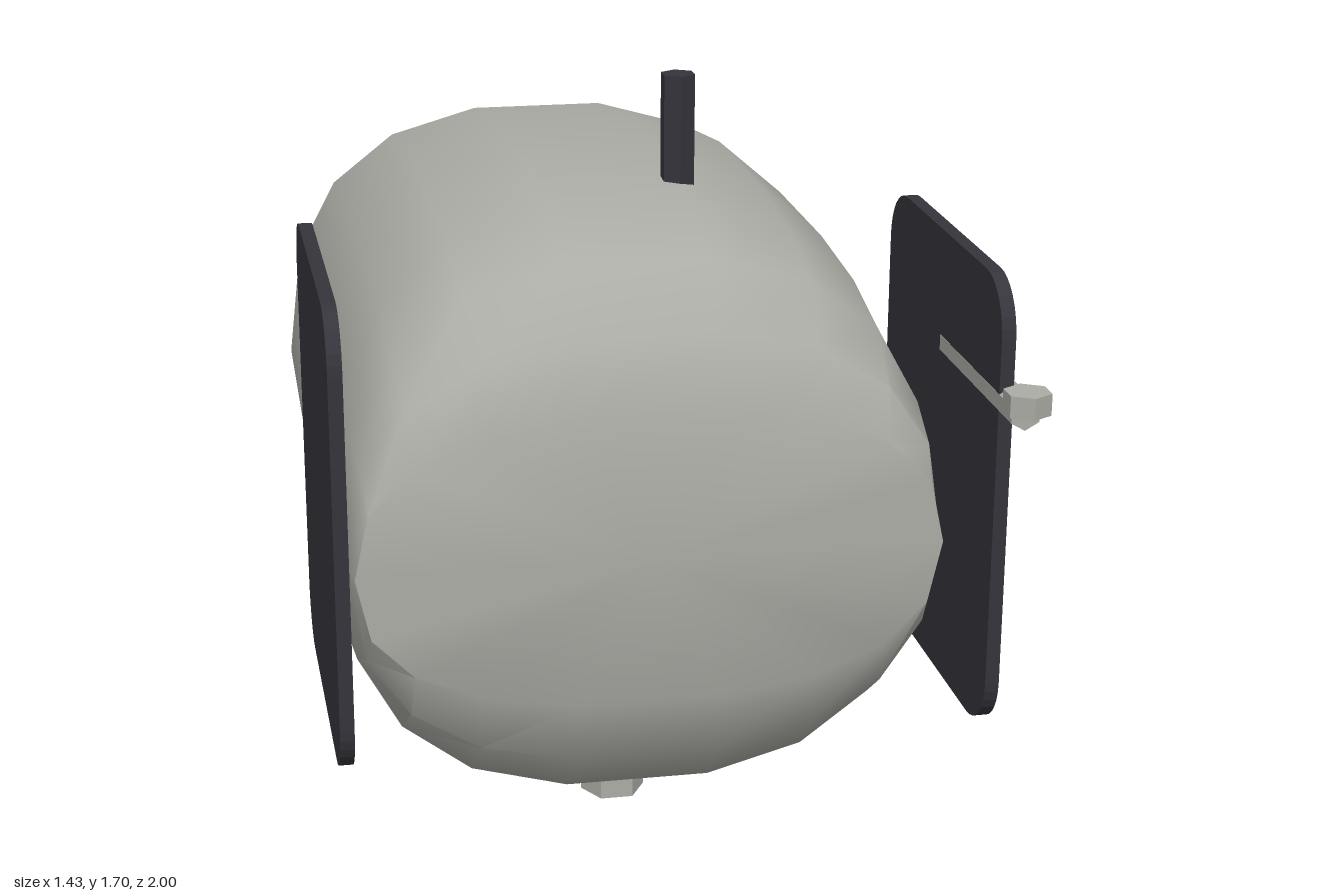
import * as THREE from 'three';
import { toCreasedNormals } from 'three/addons/utils/BufferGeometryUtils.js';

export function createModel() {
  const group = new THREE.Group();
  const grey = new THREE.MeshStandardMaterial({ color: 0xacaca6 });
  grey.name = 'light grey';
  const dark = new THREE.MeshStandardMaterial({ color: 0x36343c });
  dark.name = 'charcoal';

  const add = (name, geometry, material, x, y, z) => {
    const mesh = new THREE.Mesh(geometry, material);
    mesh.name = name;
    mesh.position.set(x, y, z);
    group.add(mesh);
    return mesh;
  };
  // Faceted six-sided bar standing on y
  const hexBar = (radius, height) =>
    toCreasedNormals(new THREE.CylinderGeometry(radius, radius, height, 6), 0.3);

  // Body: superelliptic cross-sections [z, half width, half height], back to front
  const sections = [
    [-1, 0.658, 0.637], [-0.52, 0.662, 0.707], [-0.1, 0.662, 0.707], [0.2, 0.66, 0.677],
    [0.43, 0.655, 0.612], [0.56, 0.645, 0.487], [0.615, 0.637, 0.33],
  ];
  const sides = 18, positions = [], index = [];
  const soften = (v) => Math.sign(v) * Math.pow(Math.abs(v), 0.8);
  for (const [z, w, h] of sections) {
    for (let j = 0; j < sides; j++) {
      const a = (j / sides) * Math.PI * 2;
      positions.push(w * soften(Math.cos(a)), h * soften(Math.sin(a)), z);
    }
  }
  const last = sections.length - 1;
  const back = sections.length * sides, front = back + 1;
  positions.push(0, 0, sections[0][0], 0, 0, sections[last][0]);
  for (let j = 0; j < sides; j++) {
    const k = (j + 1) % sides;
    for (let i = 0; i < last; i++) {
      const p = i * sides, q = p + sides;
      index.push(p + j, p + k, q + k, p + j, q + k, q + j);
    }
    index.push(back, k, j, front, last * sides + j, last * sides + k);
  }
  const body = new THREE.BufferGeometry();
  body.setAttribute('position', new THREE.Float32BufferAttribute(positions, 3));
  body.setIndex(index);
  add('body', toCreasedNormals(body, 0.7), grey, -0.022, 0.773, 0);

  // Side panels: thin rounded rectangles facing sideways
  const hw = 0.413, hh = 0.497, r = 0.12;
  const outline = new THREE.Shape();
  outline.absarc(hw - r, hh - r, r, 0, Math.PI / 2);
  outline.absarc(-hw + r, hh - r, r, Math.PI / 2, Math.PI);
  outline.absarc(-hw + r, -hh + r, r, Math.PI, Math.PI * 1.5);
  outline.absarc(hw - r, -hh + r, r, Math.PI * 1.5, Math.PI * 2);
  const panel = new THREE.ExtrudeGeometry(outline, { depth: 0.03, bevelEnabled: false, curveSegments: 4 });
  panel.translate(0, 0, -0.015).rotateY(Math.PI / 2);
  add('leftPanel', panel, dark, 0.656, 0.926, 0.453);
  add('rightPanel', panel, dark, -0.704, 0.926, 0.453);

  // Arm on the left panel with a knob at its tip
  const arm = hexBar(0.034, 0.5).rotateX(Math.PI / 2);
  add('arm', arm, grey, 0.67, 1.173, 0.7);
  add('armKnob', hexBar(0.05, 0.046), grey, 0.672, 1.2, 0.95);

  // Antenna on top and foot underneath
  add('antenna', hexBar(0.04, 0.28), dark, 0.14, 1.557, 0.034);
  add('foot', hexBar(0.075, 0.07).rotateY(Math.PI / 6), grey, -0.025, 0.035, 0.122);

  return group;
}
